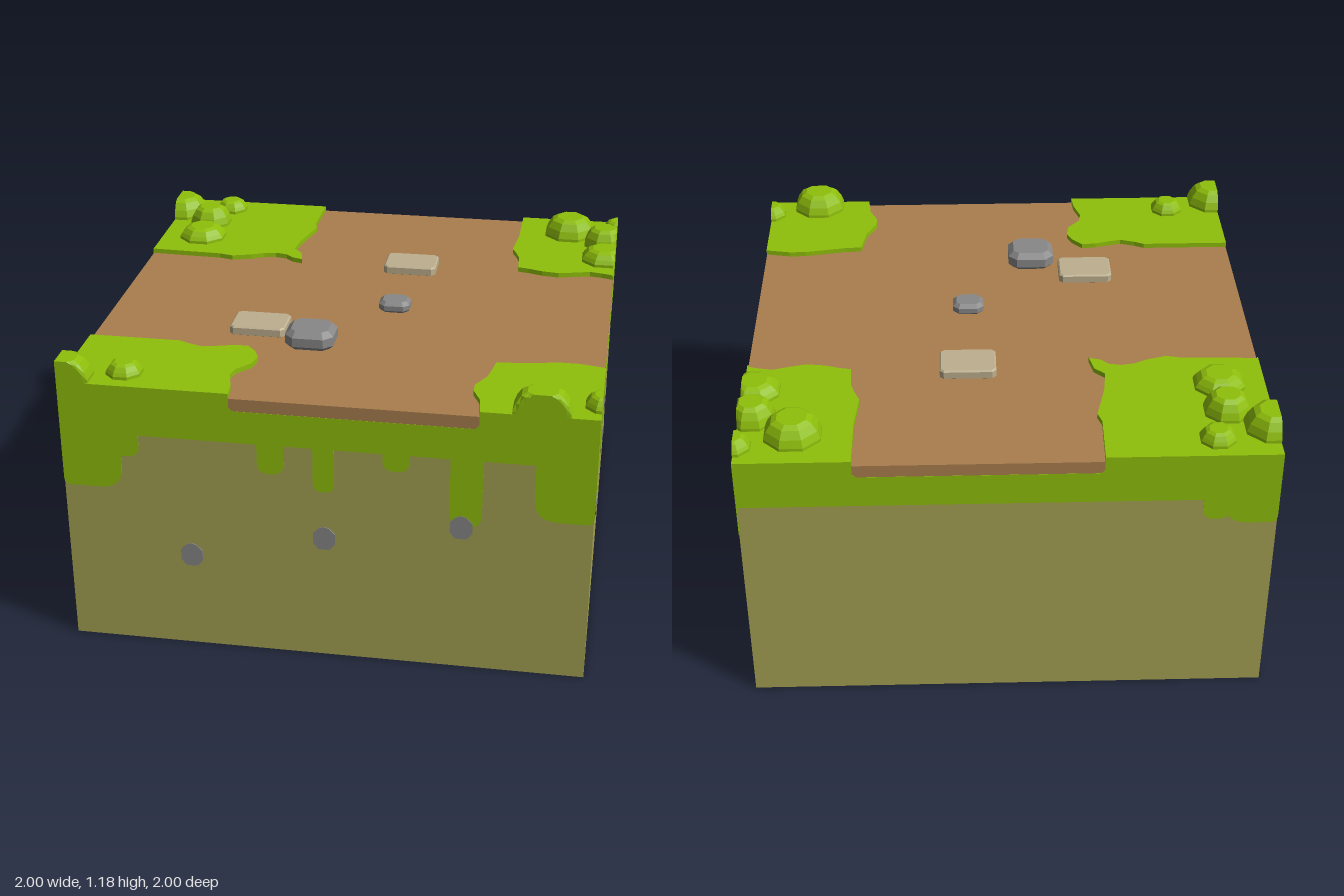
import * as THREE from 'three';

const flat = (name, color) => {
  const m = new THREE.MeshStandardMaterial({ color });
  m.name = name;
  m.flatShading = true;
  return m;
};

export function createModel() {
  const model = new THREE.Group();
  model.name = 'terrainTile';
  const grass = flat('grass green', 0x8fbf0b);
  const road = flat('dirt brown', 0xaa7e4e);
  const soil = flat('soil olive', 0xa5a252);
  const stone = flat('stone grey', 0x888888);
  const slab = flat('slab beige', 0xbeb08f);

  const add = (name, geometry, material) => {
    const mesh = new THREE.Mesh(geometry, material);
    mesh.name = name;
    model.add(mesh);
    return mesh;
  };
  const polygon = (pts) => new THREE.Shape(pts.map(([x, y]) => new THREE.Vector2(x, y)));

  // Soil block and the dirt layer on it
  add('soilBlock', new THREE.BoxGeometry(1.996, 1, 1.996).translate(0, 0.5, 0), soil);
  add('dirtRoad', new THREE.BoxGeometry(1.998, 0.13, 1.998).translate(0, 1.015, 0), road);

  // Side grass band with a notch where the road meets the edge
  const bandShape = (a, b) => polygon([
    [-1, 0.9], [1, 0.9], [1, 1.1], [b, 1.1], [b, 1.045], [b - 0.015, 1.03],
    [a + 0.015, 1.03], [a, 1.045], [a, 1.1], [-1, 1.1],
  ]);

  // Hanging drip with rounded lower corners
  const dripShape = ([u0, u1, y]) => {
    const w = u1 - u0;
    const r = Math.min(w * 0.45, 0.09);
    const rl = u0 === -1 ? 0.03 : r;
    const rr = u1 === 1 ? 0.03 : r;
    const s = new THREE.Shape();
    s.moveTo(u0, 0.9);
    s.lineTo(u0, y + rl);
    s.quadraticCurveTo(u0, y, u0 + rl, y);
    s.lineTo(u1 - rr, y);
    s.quadraticCurveTo(u1, y, u1, y + rr);
    s.lineTo(u1, 0.9);
    return s;
  };

  // Each side: turn, road notch, drips [from, to, bottom], pebbles [u, y]
  const sides = [
    { name: 'front', turn: 0, notch: [-0.35, 0.57],
      drips: [[-1, -0.77, 0.67], [-0.8, -0.7, 0.81], [-0.25, -0.15, 0.78], [-0.04, 0.04, 0.72],
        [0.22, 0.32, 0.83], [0.47, 0.59, 0.62], [0.78, 1, 0.67]],
      pebbles: [[-0.515, 0.4], [0, 0.52], [0.515, 0.615]] },
    { name: 'left', turn: Math.PI / 2, notch: [-0.57, 0.35],
      drips: [[-1, -0.84, 0.735], [-0.9, -0.77, 0.76], [-0.39, -0.28, 0.63], [-0.09, 0, 0.73],
        [0.225, 0.31, 0.82], [0.455, 0.545, 0.81], [0.745, 0.86, 0.73], [0.8, 1, 0.755]],
      pebbles: [[-0.75, 0.63], [0.39, 0.52], [0.555, 0.27]] },
    { name: 'back', turn: Math.PI, notch: [-0.57, 0.35],
      drips: [[0.72, 0.82, 0.81], [0.8, 1, 0.79]], pebbles: [] },
    { name: 'right', turn: -Math.PI / 2, notch: [-0.35, 0.57],
      drips: [[-1, -0.85, 0.83], [-0.85, -0.75, 0.79]], pebbles: [] },
  ];
  const pebbleOutline = [[-0.022, -0.046], [0.022, -0.046], [0.042, -0.02], [0.042, 0.022],
    [0.02, 0.045], [0, 0.052], [-0.02, 0.045], [-0.042, 0.022], [-0.042, -0.02]];
  for (const { name, turn, notch, drips, pebbles } of sides) {
    const shapes = [bandShape(...notch), ...drips.map(dripShape)];
    const band = new THREE.ExtrudeGeometry(shapes, { depth: 0.004, bevelEnabled: false, curveSegments: 6 });
    add(name + 'GrassEdge', band.translate(0, 0, 0.996).rotateY(turn), grass);
    for (const [u, y] of pebbles) {
      const g = new THREE.ExtrudeGeometry(polygon(pebbleOutline), { depth: 0.004, bevelEnabled: false });
      add(name + 'Pebble', g.translate(u, y, 0.9975).rotateY(turn), stone);
    }
  }

  // Grass patches on the four corners, outlines as [x, z]
  const patches = {
    backRight: [[-1, -1], [-0.35, -1], [-0.355, -0.77], [-0.34, -0.72], [-0.36, -0.64], [-0.38, -0.55],
      [-0.39, -0.45], [-0.35, -0.41], [-0.335, -0.335], [-0.38, -0.35], [-0.41, -0.38], [-0.46, -0.39],
      [-0.51, -0.38], [-0.56, -0.355], [-0.64, -0.33], [-0.7, -0.345], [-1, -0.355]],
    backLeft: [[1, -1], [0.57, -1], [0.57, -0.76], [0.56, -0.66], [0.555, -0.6], [0.575, -0.55],
      [0.59, -0.5], [0.595, -0.39], [0.64, -0.38], [0.7, -0.36], [0.77, -0.35], [0.83, -0.365],
      [0.9, -0.385], [0.95, -0.375], [1, -0.36]],
    frontRight: [[-1, 1], [-1, 0.57], [-0.64, 0.57], [-0.6, 0.59], [-0.54, 0.61], [-0.48, 0.595],
      [-0.43, 0.58], [-0.37, 0.575], [-0.33, 0.62], [-0.31, 0.67], [-0.32, 0.73], [-0.37, 0.79],
      [-0.38, 0.84], [-0.355, 0.93], [-0.35, 1]],
    frontLeft: [[1, 1], [1, 0.56], [0.9, 0.54], [0.83, 0.54], [0.75, 0.555], [0.66, 0.57], [0.59, 0.575],
      [0.58, 0.64], [0.57, 0.7], [0.53, 0.78], [0.53, 0.83], [0.56, 0.9], [0.57, 1]],
  };
  for (const [name, pts] of Object.entries(patches)) {
    const shape = polygon(pts.map(([x, z]) => [x, -z]));
    const g = new THREE.ExtrudeGeometry(shape, { depth: 0.03, bevelEnabled: false });
    add(name + 'GrassPatch', g.rotateX(-Math.PI / 2).translate(0, 1.07, 0), grass);
  }

  // Octagonal bush mound, cut off flush at the tile border
  const bush = (x, z, r, h) => {
    const profile = [[r, -0.02], [r, 0.012], [r * 0.9, h * 0.5], [r * 0.72, h * 0.85], [r * 0.52, h], [0, h]]
      .map(([a, b]) => new THREE.Vector2(a, b));
    const g = new THREE.LatheGeometry(profile, 32);
    const p = g.attributes.position;
    const step = Math.PI / 4;
    for (let i = 0; i < p.count; i++) {
      const a = Math.atan2(p.getZ(i), p.getX(i)) + 2 * Math.PI + step / 2;
      const k = 1 / Math.cos((a % step) - step / 2);
      p.setX(i, THREE.MathUtils.clamp(x + p.getX(i) * k, -1, 1));
      p.setZ(i, THREE.MathUtils.clamp(z + p.getZ(i) * k, -1, 1));
    }
    add('bush', g.translate(0, 1.1, 0), grass);
  };
  // The same cluster repeats on every corner; only the back ones are complete
  const cluster = [[0, 0, 0.105, 0.083], [0.215, -0.07, 0.065, 0.05], [0.158, 0.11, 0.085, 0.08],
    [0.165, 0.29, 0.095, 0.055]];
  for (const [x, z, count] of [[-0.985, -0.825, 4], [0.79, -0.825, 4], [-0.985, 0.955, 2], [0.79, 0.955, 2]]) {
    for (const [dx, dz, r, h] of cluster.slice(0, count)) bush(x + dx, z + dz, r, h);
  }

  // Bevelled block with clipped corners, standing on the road
  const block = (name, material, x, z, w, d, h, clip, bevel) => {
    const a = w / 2 - bevel, b = d / 2 - bevel;
    const shape = polygon([[-a + clip, -b], [a - clip, -b], [a, -b + clip], [a, b - clip],
      [a - clip, b], [-a + clip, b], [-a, b - clip], [-a, -b + clip]]);
    const g = new THREE.ExtrudeGeometry(shape, {
      depth: h - 2 * bevel, bevelThickness: bevel, bevelSize: bevel, bevelSegments: 1 });
    add(name, g.rotateX(-Math.PI / 2).translate(x, 1.075 + bevel, z), material);
  };
  block('largeRock', stone, -0.14, 0.47, 0.19, 0.17, 0.08, 0.022, 0.022);
  block('smallRock', stone, 0.133, 0.083, 0.125, 0.108, 0.05, 0.015, 0.015);
  block('frontSlab', slab, -0.365, 0.36, 0.22, 0.16, 0.04, 0.012, 0.006);
  block('backSlab', slab, 0.14, -0.36, 0.22, 0.16, 0.04, 0.012, 0.006);

  return model;
}
